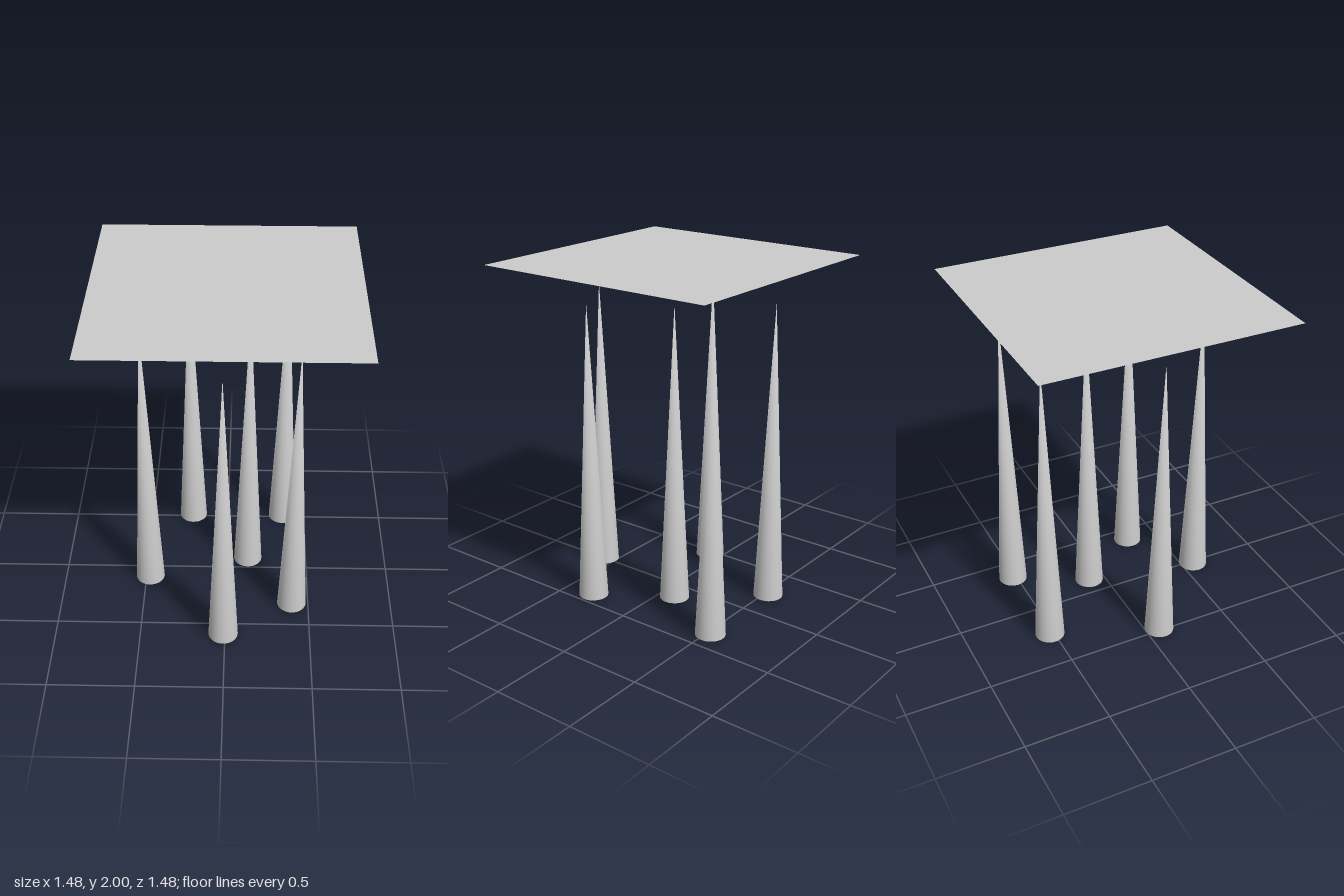
import * as THREE from 'three';
import { mergeVertices } from 'three/addons/utils/BufferGeometryUtils.js';

const CONE_RADIUS = 0.087;
const CONE_HEIGHT = 1.79;

// Ground positions [x, z] of the free-standing spikes
const SPIKES = [
  [-0.01, 0.577],
  [0.40, 0.312],
  [-0.474, 0.085],
  [0.132, -0.093],
  [0.357, -0.521],
  [-0.23, -0.521],
];

// Open-bottomed cone whose sides share one smooth apex
function spikeGeometry() {
  const cone = new THREE.ConeGeometry(CONE_RADIUS, CONE_HEIGHT, 32, 1, true);
  cone.deleteAttribute('normal');
  cone.deleteAttribute('uv');
  const geometry = mergeVertices(cone, 1e-5);
  geometry.computeVertexNormals();
  geometry.translate(0, CONE_HEIGHT / 2, 0);
  return geometry;
}

export function createModel() {
  const model = new THREE.Group();
  const material = new THREE.MeshStandardMaterial({ color: 0xcccccc, side: THREE.DoubleSide });

  // Thin square sheet hovering above the spikes
  const sheet = new THREE.Mesh(new THREE.PlaneGeometry(1.48, 1.48).rotateX(-Math.PI / 2), material);
  sheet.name = 'ceilingSheet';
  sheet.position.y = 2;
  model.add(sheet);

  // Scattered spikes
  const geometry = spikeGeometry();
  SPIKES.forEach(([x, z], i) => {
    const spike = new THREE.Mesh(geometry, material);
    spike.name = `spike${i + 1}`;
    spike.position.set(x, 0, z);
    model.add(spike);
  });

  return model;
}
